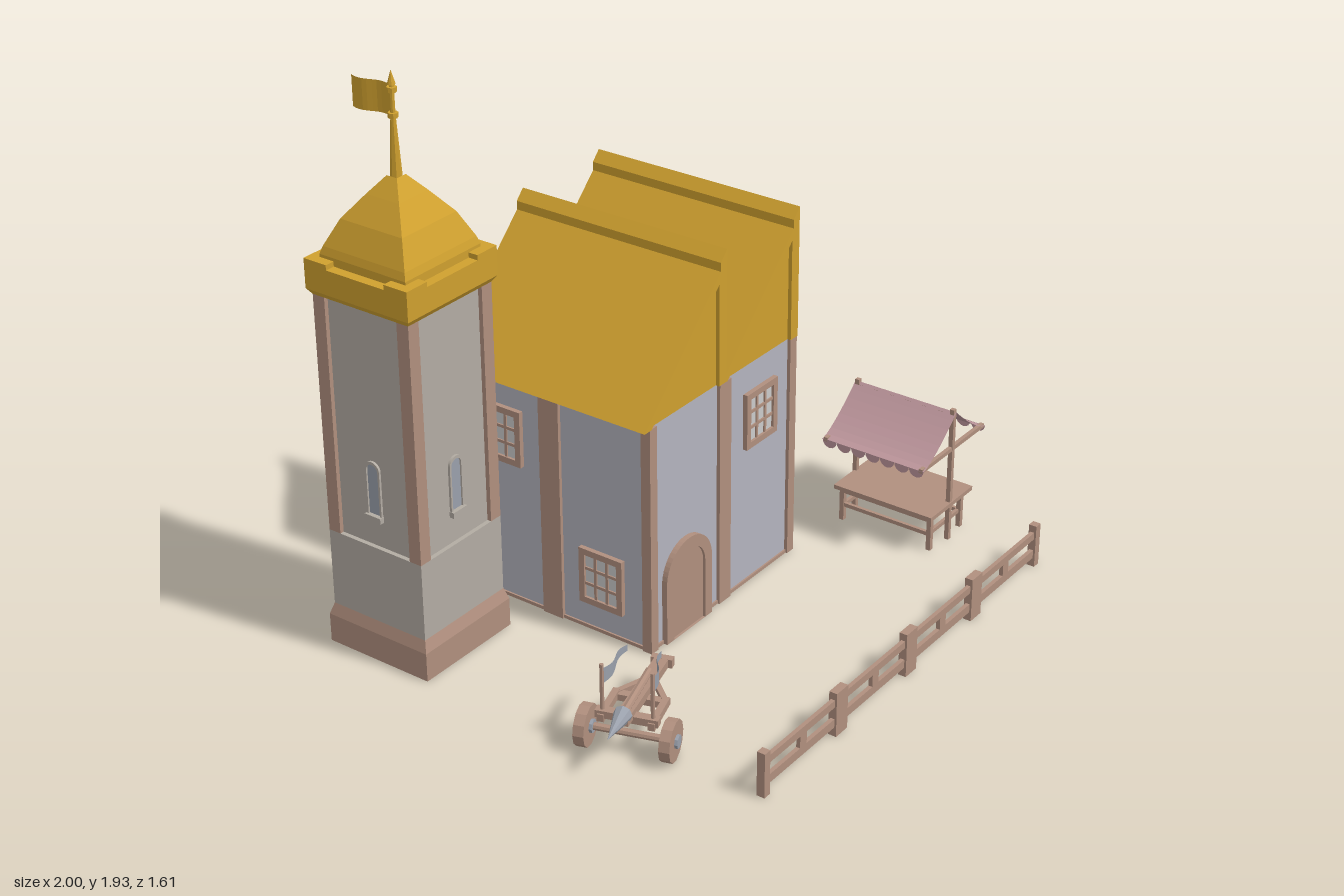
import * as THREE from 'three';

const mat = (color, side = THREE.FrontSide) =>
  new THREE.MeshStandardMaterial({ color, flatShading: true, side });
const WOOD = mat(0xb08f7e), WALL = mat(0xb4b4be, THREE.DoubleSide), STONE = mat(0xb3aca3);
const GOLD = mat(0xcfa02f), CLOTH = mat(0xbd969c, THREE.DoubleSide), GREY = mat(0xcccccc);
const IRON = mat(0x9aa0ab, THREE.DoubleSide), GOLD_SHEET = mat(0xcfa02f, THREE.DoubleSide);

function add(parent, name, geo, material, x = 0, y = 0, z = 0) {
  const m = new THREE.Mesh(geo, material);
  m.name = name;
  m.position.set(x, y, z);
  parent.add(m);
  return m;
}
const box = (p, name, material, w, h, d, x, y, z) =>
  add(p, name, new THREE.BoxGeometry(w, h, d), material, x, y, z);

function group(parent, name, x = 0, y = 0, z = 0, ry = 0) {
  const g = new THREE.Group();
  g.name = name;
  g.position.set(x, y, z);
  g.rotation.y = ry;
  parent.add(g);
  return g;
}

const polygon = pts => new THREE.Shape(pts.map(p => new THREE.Vector2(...p)));

function extrude(shape, depth) {
  const geo = new THREE.ExtrudeGeometry(shape, { depth, bevelEnabled: false, curveSegments: 12 });
  return geo.translate(0, 0, -depth / 2);
}

// Square solid of revolution from [half width, height] pairs
const squareLathe = pts => new THREE.LatheGeometry(
  pts.map(([r, y]) => new THREE.Vector2(r * Math.SQRT2, y)), 4, Math.PI / 4);

// Round-headed outline standing on y = 0
function arch(w, h, Type = THREE.Shape) {
  const s = new Type(), r = w / 2;
  s.moveTo(-r, 0);
  s.lineTo(r, 0);
  s.lineTo(r, h - r);
  s.absarc(0, h - r, r, 0, Math.PI, false);
  s.lineTo(-r, 0);
  return s;
}

// Waving sheet running along +x from the origin
function wavySheet(w, h, taper = 0) {
  const geo = new THREE.PlaneGeometry(w, h, 10, 2).translate(w / 2, 0, 0);
  const p = geo.attributes.position;
  for (let i = 0; i < p.count; i++) {
    const t = p.getX(i) / w;
    p.setY(i, p.getY(i) * (1 - taper * t));
    p.setZ(i, Math.sin(t * 6) * 0.01);
  }
  geo.computeVertexNormals();
  return geo;
}

// Framed window with a three by three grid, centred at its origin
function addWindow(parent, x, y, z, pane) {
  const g = group(parent, 'window', x, y, z);
  for (const s of [-1, 1]) {
    box(g, 'frameSide', WOOD, 0.022, 0.2, 0.03, s * 0.075, 0, 0);
    box(g, 'frameEnd', WOOD, 0.17, 0.022, 0.03, 0, s * 0.089, 0);
    box(g, 'upright', WOOD, 0.01, 0.16, 0.022, s * 0.023, 0, 0);
    box(g, 'crossbar', WOOD, 0.13, 0.01, 0.022, 0, s * 0.028, 0);
  }
  box(g, 'pane', pane, 0.13, 0.16, 0.012, 0, 0, 0);
}

function buildHouse(root) {
  const house = group(root, 'house', 0.03, 0, -0.32);
  const windows = [[[0.2, 0.61]], [[-0.2, 0.61, GOLD], [0.2, 0.2]],
    [[-0.2, 0.2], [0.2, 0.61]], [[0.2, 0.2], [-0.2, 0.61]]];
  windows.forEach((list, k) => {
    const side = group(house, 'houseSide', 0, 0, 0, k * Math.PI / 2);
    add(side, 'wall', new THREE.PlaneGeometry(0.78, 0.81), WALL, 0, 0.405, 0.388);
    box(side, 'cornerPost', WOOD, 0.036, 0.81, 0.036, -0.382, 0.405, 0.382);
    box(side, 'middlePost', WOOD, k % 2 ? 0.08 : 0.062, 0.81, 0.025, 0, 0.405, 0.388);
    box(side, 'sill', WOOD, 0.76, 0.012, 0.016, 0, 0.006, 0.386);
    for (const [x, y, pane = GREY] of list) addWindow(side, x, y, 0.39, pane);
  });

  // Arched door
  const frame = arch(0.244, 0.34);
  frame.holes.push(arch(0.17, 0.3, THREE.Path));
  add(house, 'doorFrame', extrude(frame, 0.035), WOOD, -0.205, 0, 0.39);
  add(house, 'door', extrude(arch(0.17, 0.3), 0.018), WOOD, -0.205, 0, 0.39);

  // Saw-tooth roof: slope with upright back, and a recessed gable
  const shell = polygon([[-0.43, 0.81], [-0.395, 0.81], [-0.04, 1.165], [-0.04, 0.81], [0, 0.81],
    [0, 1.27], [-0.033, 1.235], [-0.033, 1.205]]);
  const gable = polygon([[-0.395, 0.81], [-0.03, 0.81], [-0.03, 1.175]]);
  for (const x of [0, 0.4]) {
    add(house, 'roofSlope', extrude(shell, 0.81), GOLD, x, 0, -0.002);
    add(house, 'gable', extrude(gable, 0.78), GOLD, x, 0, 0);
  }
}

function buildTower(root) {
  const tower = group(root, 'tower', -0.7, 0, -0.6);
  add(tower, 'base', squareLathe([[0, 0], [0.203, 0], [0.203, 0.1], [0.19, 0.14]]), WOOD);
  add(tower, 'shaft', squareLathe([[0.19, 0.14], [0.19, 0.41], [0.175, 0.41], [0.175, 1.24]]), STONE);
  add(tower, 'cornice', squareLathe([[0.17, 1.23], [0.19, 1.23], [0.204, 1.25], [0.204, 1.333],
    [0.17, 1.333]]), GOLD);
  add(tower, 'domeRoof', squareLathe([[0.17, 1.33], [0.17, 1.36], [0.162, 1.385], [0.122, 1.47],
    [0.065, 1.545], [0.02, 1.6], [0.02, 1.6]]), GOLD);
  for (let k = 0; k < 4; k++) {
    const side = group(tower, 'towerSide', 0, 0, 0, k * Math.PI / 2);
    box(side, 'cornerPillar', WOOD, 0.046, 0.82, 0.046, -0.167, 0.82, 0.167);
    box(side, 'cornerBlock', GOLD, 0.09, 0.05, 0.035, -0.159, 1.325, 0.1865);
    box(side, 'cornerBlock', GOLD, 0.09, 0.05, 0.035, 0.159, 1.325, 0.1865);
    const rim = arch(0.06, 0.2);
    rim.holes.push(arch(0.046, 0.19, THREE.Path));
    add(side, 'slitRim', extrude(rim, 0.014), STONE, 0, 0.51, 0.176);
    add(side, 'slitWindow', extrude(arch(0.05, 0.193), 0.006), IRON, 0, 0.51, 0.174);
    box(side, 'slitLedge', STONE, 0.064, 0.02, 0.024, 0, 0.513, 0.18);
  }

  // Finial and flag
  add(tower, 'spire', new THREE.CylinderGeometry(0.008, 0.019, 0.19, 8), GOLD, 0, 1.69, 0);
  add(tower, 'flagpole', new THREE.CylinderGeometry(0.007, 0.008, 0.13, 8), GOLD, 0, 1.84, 0);
  for (const y of [1.79, 1.87])
    add(tower, 'poleRing', new THREE.CylinderGeometry(0.016, 0.016, 0.016, 8), GOLD, 0, y, 0);
  add(tower, 'poleTip', new THREE.ConeGeometry(0.013, 0.045, 8), GOLD, 0, 1.908, 0);
  add(tower, 'flag', wavySheet(0.15, 0.1), GOLD_SHEET, 0, 1.832, -0.005).rotation.y = Math.PI / 2;
}

function buildFence(root) {
  const fence = group(root, 'fence', 0.025, 0, 0.787);
  for (let i = -2; i <= 2; i++) {
    const end = Math.abs(i) === 2;
    box(fence, 'fencePost', WOOD, end ? 0.028 : 0.062, 0.155, 0.028, i * 0.398, 0.0775, 0);
  }
  for (let i = -1.5; i < 2; i++) {
    box(fence, 'topRail', WOOD, 0.38, 0.026, 0.014, i * 0.398, 0.117, 0);
    box(fence, 'bottomRail', WOOD, 0.38, 0.03, 0.014, i * 0.398, 0.047, 0);
    box(fence, 'railBlock', WOOD, 0.035, 0.06, 0.014, i * 0.398, 0.083, 0);
  }
}

function buildStall(root) {
  const stall = group(root, 'marketStall', 0.797, 0, 0.28);
  box(stall, 'tableTop', WOOD, 0.27, 0.015, 0.39, 0, 0.139, 0.005);
  box(stall, 'ridgeBeam', WOOD, 0.014, 0.014, 0.39, 0, 0.475, 0);
  for (const s of [-1, 1]) {
    box(stall, 'pole', WOOD, 0.016, 0.5, 0.016, 0, 0.25, s * 0.188);
    box(stall, 'canopyBar', WOOD, 0.4, 0.015, 0.014, 0.002, 0.352, s * 0.188);
    box(stall, 'tableEndRail', WOOD, 0.21, 0.014, 0.012, 0, 0.06, s * 0.17);
    box(stall, 'apron', WOOD, 0.012, 0.025, 0.36, s * 0.1, 0.12, 0);
    box(stall, 'lowRail', WOOD, 0.012, 0.014, 0.34, s * 0.098, 0.06, 0);
    for (const t of [-1, 1]) box(stall, 'tableLeg', WOOD, 0.017, 0.132, 0.017, s * 0.098, 0.066, t * 0.175);
    // Scalloped edge
    for (let i = 0; i < 7; i++)
      add(stall, 'scallop', new THREE.CircleGeometry(0.0286, 8, Math.PI, Math.PI), CLOTH,
        s * 0.2 + 0.002, 0.353, (i - 3) * 0.0571).rotation.y = Math.PI / 2;
  }
  // Sagging canopy
  const canopy = new THREE.PlaneGeometry(0.4, 0.4, 16, 1).rotateX(-Math.PI / 2);
  const p = canopy.attributes.position;
  for (let i = 0; i < p.count; i++)
    p.setY(i, 0.352 + 0.138 * Math.pow(1 - Math.min(1, Math.abs(p.getX(i)) / 0.2), 1.35));
  canopy.computeVertexNormals();
  add(stall, 'canopy', canopy, CLOTH, 0.002, 0, 0);
}

function buildCart(root) {
  const cart = group(root, 'siegeCart', -0.83, 0, 0.335, 0.318);
  const axle = add(cart, 'axle', new THREE.CylinderGeometry(0.012, 0.012, 0.28, 8), WOOD, 0, 0.068, 0);
  axle.rotation.x = Math.PI / 2;
  const beam = box(cart, 'mainBeam', WOOD, 0.4, 0.028, 0.045, 0.14, 0.13, 0);
  beam.rotation.z = -0.08;
  box(cart, 'tailBar', WOOD, 0.025, 0.03, 0.07, 0.33, 0.115, 0);
  box(cart, 'frontCrossbar', WOOD, 0.03, 0.025, 0.2, 0, 0.125, 0);
  box(cart, 'rearCrossbar', WOOD, 0.028, 0.022, 0.15, 0.12, 0.11, 0);
  const head = add(cart, 'spearHead', new THREE.ConeGeometry(0.03, 0.14, 8), IRON, -0.11, 0.16, 0);
  head.rotation.z = Math.PI / 2;
  const shaft = add(cart, 'spearShaft', new THREE.CylinderGeometry(0.013, 0.013, 0.24, 8), WOOD, 0.08, 0.16, 0);
  shaft.rotation.z = Math.PI / 2;
  for (const s of [-1, 1]) {
    const wheel = group(cart, 'wheel', 0, 0.068, s * 0.135);
    wheel.rotation.x = Math.PI / 2;
    add(wheel, 'tyre', new THREE.CylinderGeometry(0.068, 0.068, 0.035, 12), WOOD);
    add(wheel, 'hub', new THREE.CylinderGeometry(0.022, 0.022, 0.055, 8), IRON);
    box(cart, 'sideBeam', WOOD, 0.15, 0.025, 0.022, 0.055, 0.115, s * 0.08);
    const brace = box(cart, 'brace', WOOD, 0.13, 0.018, 0.018, 0.17, 0.115, s * 0.045);
    brace.rotation.y = s * 0.6;
    add(cart, 'bannerPole', new THREE.CylinderGeometry(0.007, 0.007, 0.18, 6), WOOD, 0, 0.205, s * 0.08);
    add(cart, 'banner', wavySheet(0.17, 0.055, 0.6), IRON, 0, 0.252, s * 0.08).rotation.y = s * 0.15;
  }
}

export function createModel() {
  const root = new THREE.Group();
  root.name = 'farmstead';
  for (const build of [buildHouse, buildTower, buildFence, buildStall, buildCart]) build(root);
  return root;
}
